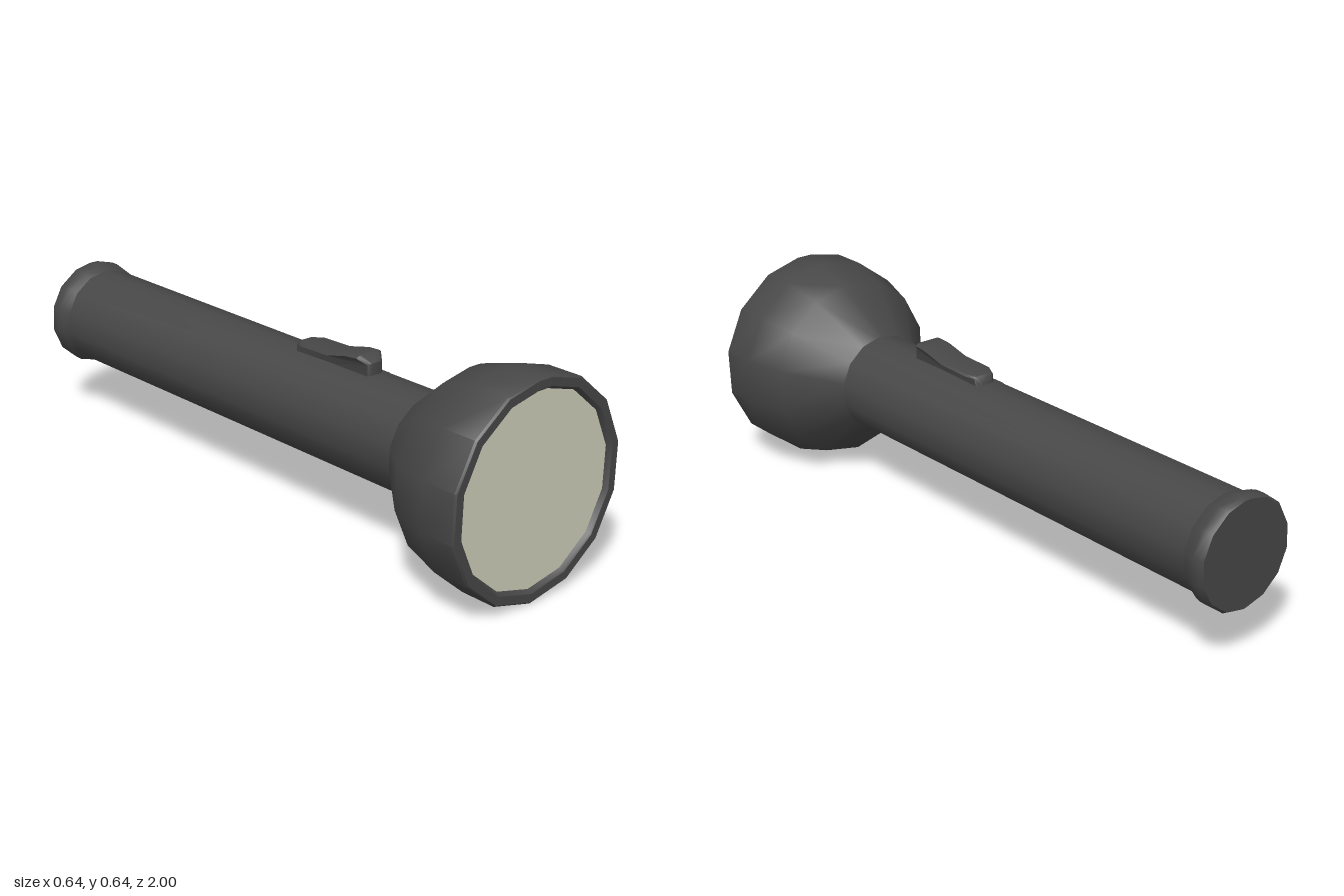
import * as THREE from 'three';
import { toCreasedNormals } from 'three/addons/utils/BufferGeometryUtils.js';

const CENTER_Y = 0.324;

// Unit outline: 14 sides with the top corner cut flat
const outline = [];
for (let i = 0; i < 14; i++) {
  const a = THREE.MathUtils.degToRad(-92 + (i * 360) / 14);
  if (i === 7) outline.push([0.1, 0.988], [-0.06, 0.988]);
  else outline.push([Math.cos(a), Math.sin(a)]);
}

// Sweeps the outline through [z, radius] stations, running front to back
function loft(stations, crease = 0.75) {
  const p = [];
  const n = outline.length;
  const at = ([z, r], j) => [outline[j % n][0] * r, CENTER_Y + outline[j % n][1] * r, z];
  for (let i = 0; i < stations.length - 1; i++) {
    const a = stations[i], b = stations[i + 1];
    for (let j = 0; j < n; j++) {
      if (b[1] > 0) p.push(...at(a, j), ...at(b, j), ...at(b, j + 1));
      if (a[1] > 0) p.push(...at(a, j), ...at(b, j + 1), ...at(a, j + 1));
    }
  }
  const g = new THREE.BufferGeometry();
  g.setAttribute('position', new THREE.Float32BufferAttribute(p, 3));
  return toCreasedNormals(g, crease);
}

export function createModel() {
  const group = new THREE.Group();
  const casing = new THREE.MeshStandardMaterial({ name: 'dark grey casing', color: 0x474747 });
  const glass = new THREE.MeshStandardMaterial({ name: 'pale lens', color: 0xcfcfbb });
  const add = (name, geometry, material) => {
    const mesh = new THREE.Mesh(geometry, material);
    mesh.name = name;
    group.add(mesh);
  };

  // Flared head with a raised rim around the lens
  add('head', loft([
    [0.984, 0.283], [0.996, 0.29], [1, 0.294], [1, 0.319], [0.994, 0.324],
    [0.88, 0.324], [0.75, 0.287], [0.59, 0.153],
  ]), casing);
  add('lens', loft([[0.986, 0], [0.986, 0.286]]), glass);

  // Barrel and flared tail cap
  add('barrel', loft([[0.6, 0.153], [-0.92, 0.153]]), casing);
  add('tailCap', loft([
    [-0.92, 0.153], [-0.945, 0.164], [-0.965, 0.169], [-0.99, 0.169], [-1, 0.162], [-1, 0],
  ]), casing);

  // Switch surround: thin plate with cut corners that follows the barrel
  const plate = new THREE.PlaneGeometry(0.13, 0.37, 3, 1).rotateX(-Math.PI / 2);
  const pp = plate.attributes.position;
  for (let i = 0; i < pp.count; i++) {
    const outer = Math.abs(pp.getX(i)) > 0.05;
    pp.setY(i, outer ? 0.464 : 0.478);
    pp.setZ(i, 0.215 + pp.getZ(i) * (outer ? 0.82 : 1));
  }
  plate.computeVertexNormals();
  add('switchSurround', plate, casing);

  // Thumb slider: bevelled side profile, narrowed at both ends
  const profile = [
    [0.07, 0.44], [0.37, 0.44], [0.37, 0.51], [0.345, 0.527], [0.3, 0.523],
    [0.22, 0.504], [0.11, 0.501], [0.08, 0.497], [0.07, 0.485],
  ].map(([z, y]) => new THREE.Vector2(z, y));
  const slider = new THREE.ExtrudeGeometry(new THREE.Shape(profile), {
    depth: 0.07, bevelSize: 0.008, bevelThickness: 0.014, bevelSegments: 2,
  }).translate(0, 0, -0.035).rotateY(-Math.PI / 2);
  const sp = slider.attributes.position;
  for (let i = 0; i < sp.count; i++) {
    const z = sp.getZ(i);
    const end = Math.max(0, Math.min(z - 0.062, 0.378 - z));
    sp.setX(i, sp.getX(i) * (0.45 + 0.55 * Math.min(1, end / 0.035)));
  }
  add('switchSlider', toCreasedNormals(slider, 0.7), casing);

  return group;
}
